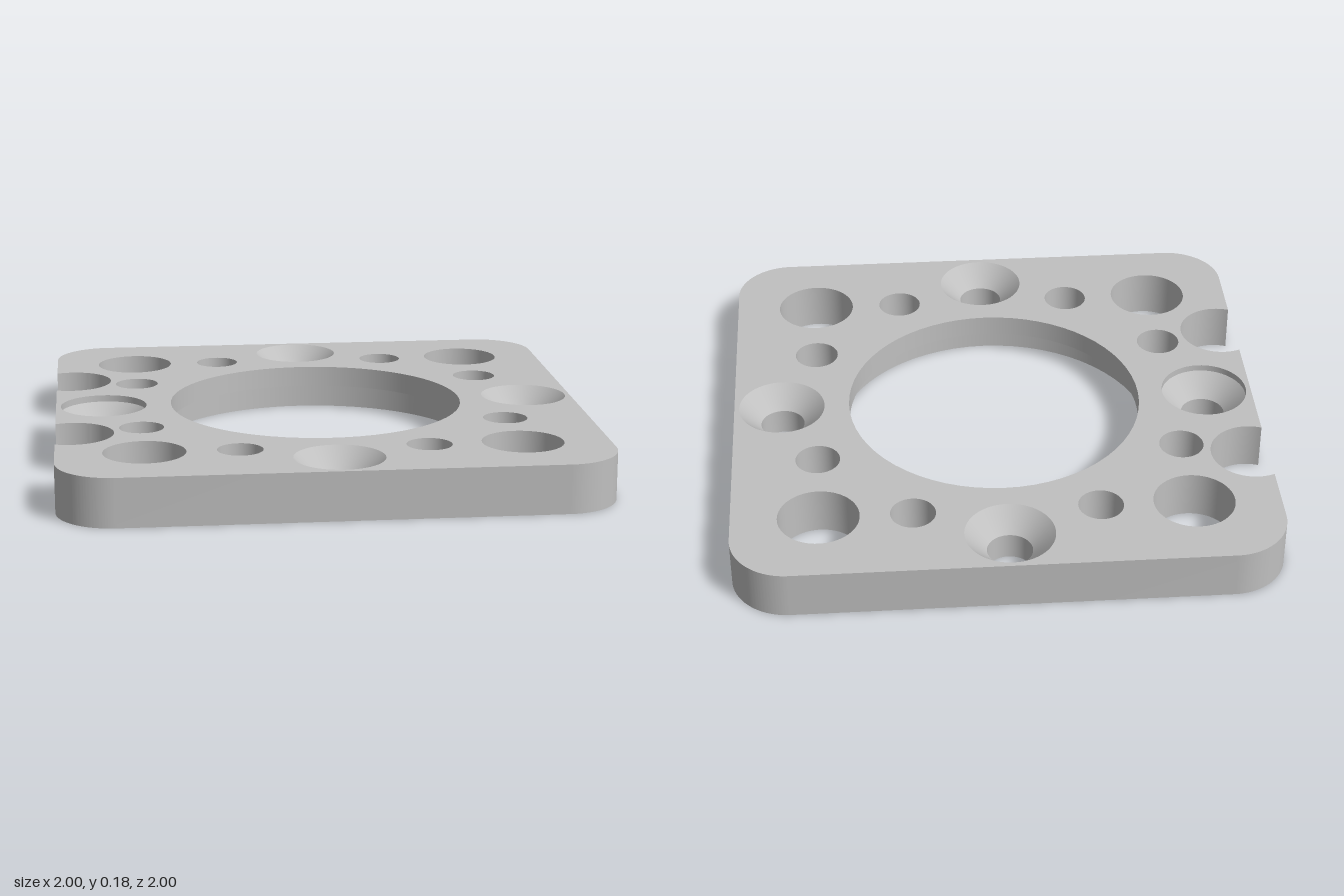
import * as THREE from 'three';
import { toCreasedNormals } from 'three/addons/utils/BufferGeometryUtils.js';

const H = 0.18, SEG = 64;

// Holes: x, z, and a profile of [radius, y] from the top face to the bottom face
function holeList() {
  const holes = [];
  const add = (name, x, z, profile) => holes.push({ name, x, z, profile });
  const drill = (name, x, z, r) => add(name, x, z, [[r, H], [r, 0]]);

  add('centreBore', 0, 0, [[0.56, H], [0.56, 0.1], [0.62, 0.1], [0.62, 0]]);
  for (const sx of [-1, 1]) for (const sz of [-1, 1]) {
    drill('cornerHole', sx * 0.682, sz * 0.682, 0.149);
    drill('smallHole', sx * 0.341, sz * 0.682, 0.083);
    drill('smallHole', sx * 0.682, sz * 0.341, 0.083);
  }
  for (const [x, z] of [[0.818, 0], [0, 0.818], [0, -0.818]])
    add('countersunkHole', x, z, [[0.164, H], [0.083, 0.1], [0.083, 0]]);
  // The one between the edge notches is sunk slightly deeper
  add('deepCountersunkHole', -0.818, 0, [[0.164, H], [0.164, 0.155], [0.083, 0.074], [0.083, 0]]);
  return holes;
}

// Rounded square with two round notches in its right-hand (-x) edge
function plateOutline() {
  const r = 0.21, c = 1 - r, nx = -0.94, nr = 0.155, a = Math.acos((-1 - nx) / nr);
  const s = new THREE.Shape();
  s.moveTo(-c, -1);
  s.absarc(c, -c, r, -Math.PI / 2, 0, false);
  s.absarc(c, c, r, 0, Math.PI / 2, false);
  s.absarc(-c, c, r, Math.PI / 2, Math.PI, false);
  for (const y of [0.404, -0.404]) s.absarc(nx, y, nr, a, -a, true);
  s.absarc(-c, -c, r, Math.PI, Math.PI * 1.5, false);
  return s;
}

// Flat face with every hole cut at the radius it has on that side
function faceGeometry(holes, top) {
  const shape = plateOutline();
  for (const h of holes) {
    const r = (top ? h.profile[0] : h.profile[h.profile.length - 1])[0];
    const path = new THREE.Path();
    path.absarc(h.x, top ? -h.z : h.z, r, 0, Math.PI * 2, true);
    shape.holes.push(path);
  }
  const g = new THREE.ShapeGeometry(shape, SEG / 2);
  g.rotateX(top ? -Math.PI / 2 : Math.PI / 2);
  if (top) g.translate(0, H, 0);
  return g;
}

// Upright wall following the outline
function rimGeometry() {
  const pts = plateOutline().getPoints(SEG / 2);
  const pos = [];
  pts.forEach((p, i) => {
    const q = pts[(i + 1) % pts.length];
    if (p.distanceTo(q) < 1e-6) return;
    pos.push(p.x, 0, -p.y, q.x, 0, -q.y, q.x, H, -q.y);
    pos.push(p.x, 0, -p.y, q.x, H, -q.y, p.x, H, -p.y);
  });
  const g = new THREE.BufferGeometry();
  g.setAttribute('position', new THREE.Float32BufferAttribute(pos, 3));
  return toCreasedNormals(g, 0.5);
}

export function createModel() {
  const model = new THREE.Group();
  model.name = 'mountingPlate';
  const metal = new THREE.MeshStandardMaterial({ color: 0xc0c0c0 });
  metal.name = 'grey metal';
  const add = (parent, name, geometry) => {
    const mesh = new THREE.Mesh(geometry, metal);
    mesh.name = name;
    parent.add(mesh);
  };

  const holes = holeList();
  add(model, 'topFace', faceGeometry(holes, true));
  add(model, 'bottomFace', faceGeometry(holes, false));
  add(model, 'rim', rimGeometry());

  // Hole linings, one lathe per profile step so the edges stay sharp
  for (const h of holes) {
    const group = new THREE.Group();
    group.name = h.name;
    group.position.set(h.x, 0, h.z);
    for (let i = 0; i + 1 < h.profile.length; i++) {
      const step = [h.profile[i], h.profile[i + 1]].map(([r, y]) => new THREE.Vector2(r, y));
      add(group, h.name + 'Wall', new THREE.LatheGeometry(step, SEG));
    }
    model.add(group);
  }
  return model;
}
